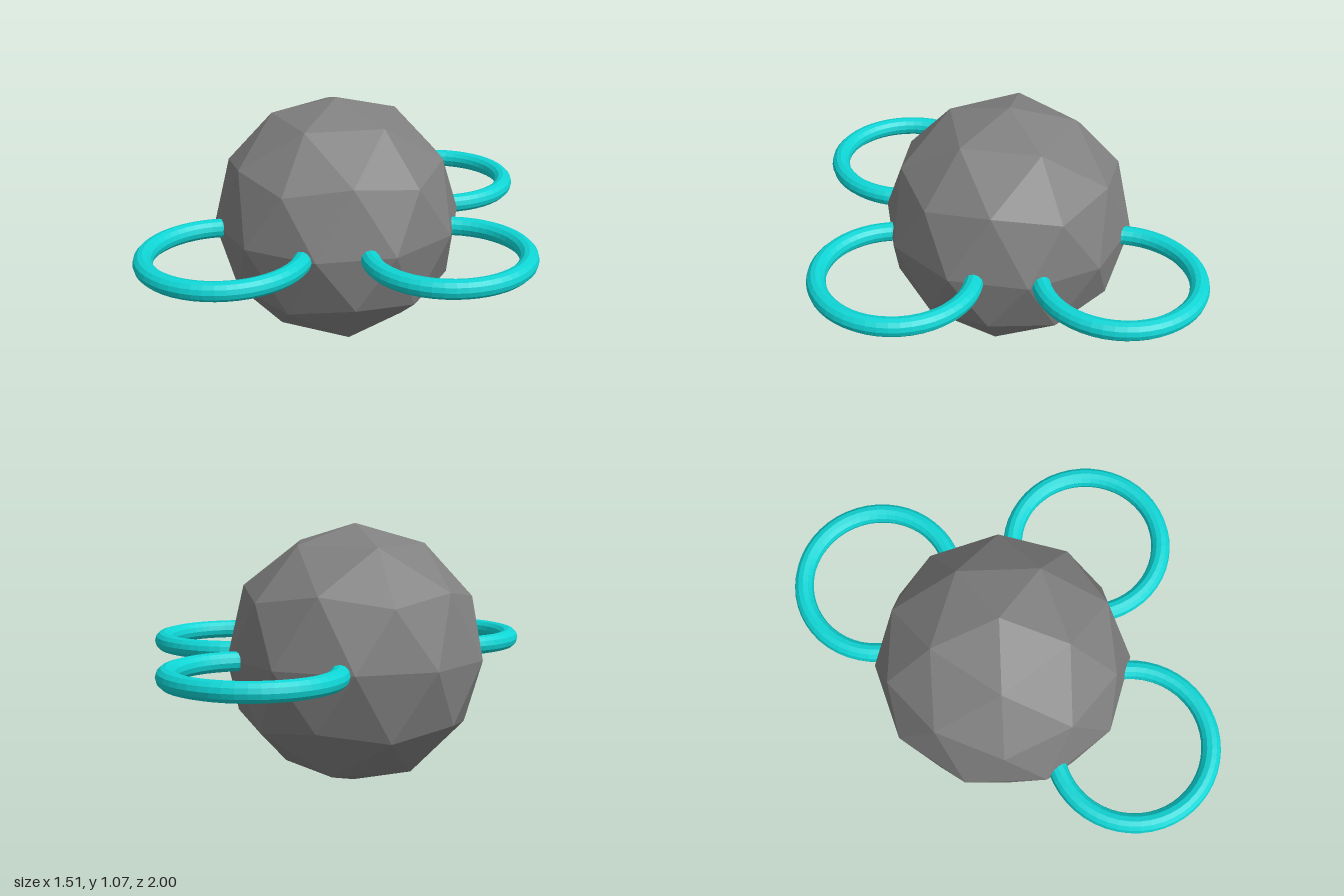
import * as THREE from 'three';

const RADIUS = 0.533;
const CENTRE_X = -0.248;

export function createModel() {
  const model = new THREE.Group();
  const stoneGrey = new THREE.MeshStandardMaterial({ color: 0x808080, flatShading: true });
  const turquoise = new THREE.MeshStandardMaterial({ color: 0x0fd5d5, flatShading: true });

  // Faceted ball, turned so that a corner points straight up
  const golden = (1 + Math.sqrt(5)) / 2;
  const ballGeometry = new THREE.IcosahedronGeometry(RADIUS, 1);
  ballGeometry.rotateZ(-Math.atan(1 / golden));
  const ball = new THREE.Mesh(ballGeometry, stoneGrey);
  ball.name = 'body';
  ball.position.set(CENTRE_X, RADIUS, 0);
  model.add(ball);

  // Three flat rings, sunk into the ball at its equator
  const ringGeometry = new THREE.TorusGeometry(RADIUS * 0.6, RADIUS * 0.075, 12, 48);
  ringGeometry.rotateX(Math.PI / 2);
  const reach = RADIUS * 1.2;
  const rings = [
    ['frontRing', 0, reach],
    ['backRing', 0, -reach],
    ['leftRing', reach, 0],
  ];
  for (const [name, x, z] of rings) {
    const ring = new THREE.Mesh(ringGeometry, turquoise);
    ring.name = name;
    ring.position.set(CENTRE_X + x, RADIUS, z);
    model.add(ring);
  }

  return model;
}
